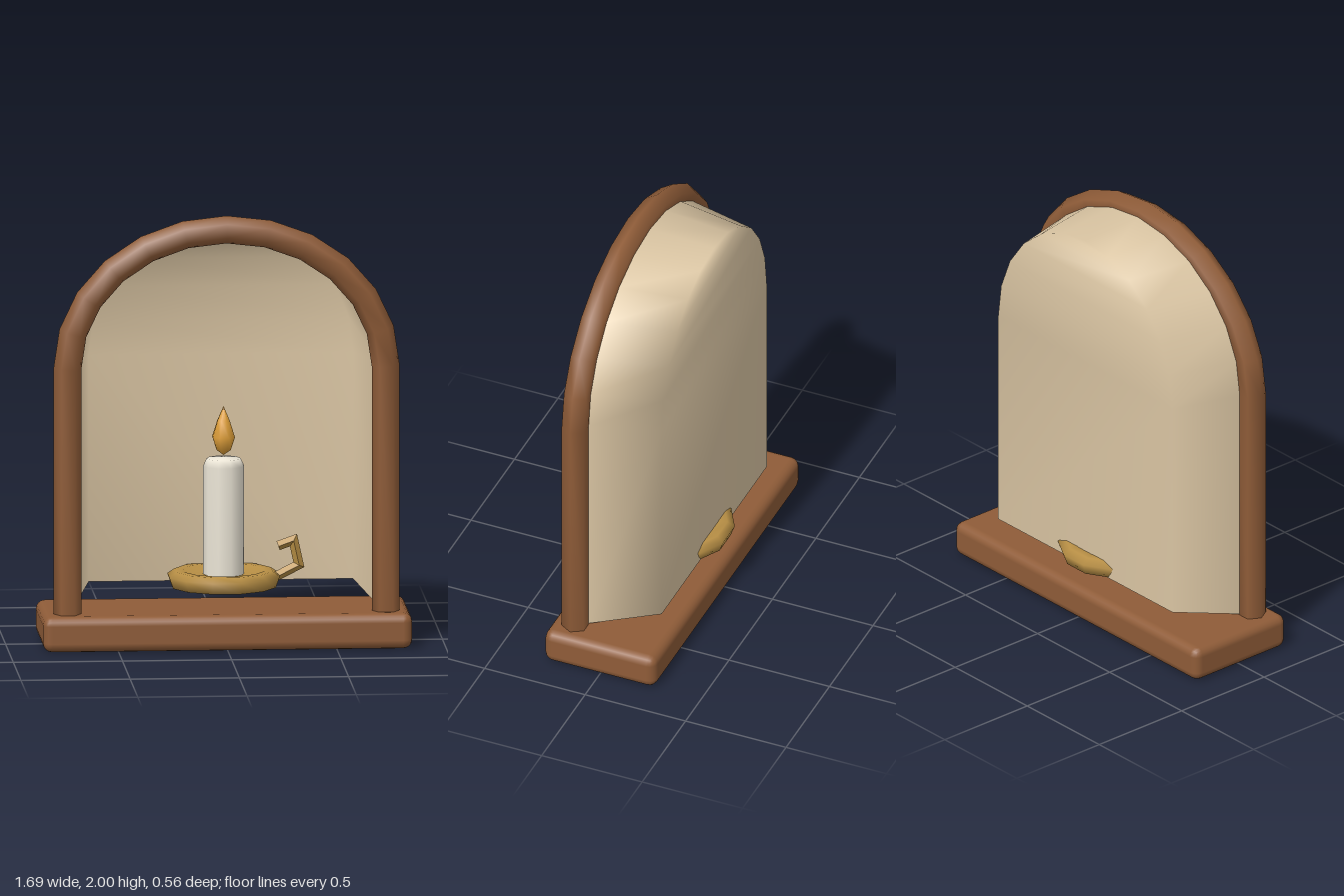
import * as THREE from 'three';
import { RoundedBoxGeometry } from 'three/addons/geometries/RoundedBoxGeometry.js';

const mat = (color, extra = {}) => new THREE.MeshStandardMaterial({ color, ...extra });
const wood = mat(0x8f5c38);
const plaster = mat(0xd9c4a2, { side: THREE.DoubleSide });
const brass = mat(0xb88f45);
const brassFlat = mat(0xb88f45, { flatShading: true });
const wax = mat(0xebe5d6);
const fire = mat(0xdf9f38);

const CANDLE_Z = -0.03;

function indexed(verts, index) {
  const g = new THREE.BufferGeometry();
  g.setAttribute('position', new THREE.Float32BufferAttribute(verts, 3));
  g.setIndex(index);
  g.computeVertexNormals();
  return g;
}

// Upright arch outline: straight legs, then a half ellipse in 12 steps
function archPoints(halfWidth, rise, bottom, spring = 1.3) {
  const pts = [[-halfWidth, bottom]];
  for (let i = 0; i <= 12; i++) {
    const a = Math.PI * (1 - i / 12);
    pts.push([halfWidth * Math.cos(a), spring + rise * Math.sin(a)]);
  }
  pts.push([halfWidth, bottom]);
  return pts;
}

// Sweeps a regular polygon along a path in the xy plane, with mitred corners
function sweep(path, radius, sides) {
  const pts = path.map(([x, y]) => new THREE.Vector2(x, y));
  const verts = [], index = [], last = pts.length - 1;
  pts.forEach((p, i) => {
    const before = p.clone().sub(pts[Math.max(i - 1, 0)]).normalize();
    const after = pts[Math.min(i + 1, last)].clone().sub(p).normalize();
    const t = before.clone().add(after).normalize();
    const mitre = 1 / t.dot(i < last ? after : before);
    for (let k = 0; k < sides; k++) {
      const a = (k / sides) * Math.PI * 2;
      const r = Math.cos(a) * radius * mitre;
      verts.push(p.x - t.y * r, p.y + t.x * r, Math.sin(a) * radius);
      if (i < last) {
        const A = i * sides + k, B = i * sides + (k + 1) % sides;
        index.push(A, B, A + sides, B, B + sides, A + sides);
      }
    }
  });
  // End caps
  for (let k = 1; k < sides - 1; k++) {
    const e = last * sides;
    index.push(0, k + 1, k, e, e + k, e + k + 1);
  }
  return indexed(verts, index);
}

// Tapered niche: a band between a front and a back arch, closed by a back panel
function nicheGeometry() {
  const front = archPoints(0.705, 0.64, 0.17), back = archPoints(0.605, 0.63, 0.25);
  const n = front.length, verts = [], index = [];
  front.forEach(([x, y]) => verts.push(x, y, 0.11));
  back.forEach(([x, y]) => verts.push(x, y, -0.21));
  for (let i = 0; i < n - 1; i++) {
    index.push(i, i + 1, n + i, i + 1, n + i + 1, n + i);
  }
  const mid = (n - 1) / 2;
  for (let i = 0; i < mid; i++) {
    const L = n + i, R = n + n - 1 - i;
    index.push(L, L + 1, R);
    if (i < mid - 1) index.push(L + 1, R - 1, R);
  }
  return indexed(verts, index);
}

function lathe(profile, sides) {
  const g = new THREE.LatheGeometry(profile.map(([r, y]) => new THREE.Vector2(r, y)), sides);
  return g.rotateY(Math.PI / sides);
}

export function createModel() {
  const model = new THREE.Group();
  model.name = 'candleNiche';
  const add = (name, geometry, material, x = 0, y = 0, z = 0) => {
    const mesh = new THREE.Mesh(geometry, material);
    mesh.name = name;
    mesh.position.set(x, y, z);
    model.add(mesh);
  };

  // Wooden base, arched frame and the shell behind it
  add('base', new RoundedBoxGeometry(1.69, 0.165, 0.555, 2, 0.042), wood, 0, 0.0825, 0);
  add('archFrame', sweep(archPoints(0.7285, 0.6365, 0.15), 0.0635, 6), wood, 0, 0, 0.165);
  add('nicheShell', nicheGeometry(), plaster);

  // Candle holder
  add('saucer', lathe([[0, 0.253], [0.243, 0.253], [0.262, 0.305], [0.228, 0.328],
    [0.19, 0.328], [0.15, 0.31], [0, 0.31]], 12), brass, 0, 0, CANDLE_Z);
  add('saucerHandle', sweep([[0.22, 0.285], [0.345, 0.348], [0.32, 0.462], [0.25, 0.437]], 0.022, 4),
    brassFlat, 0, 0, CANDLE_Z);

  // Candle and flame
  add('candle', lathe([[0.094, 0.3], [0.094, 0.81], [0.078, 0.845], [0, 0.853]], 10), wax, 0, 0, CANDLE_Z);
  add('flame', lathe([[0, 0.86], [0.035, 0.885], [0.055, 0.945], [0.03, 1.02], [0, 1.087]], 8),
    fire, 0, 0, CANDLE_Z);
  return model;
}
